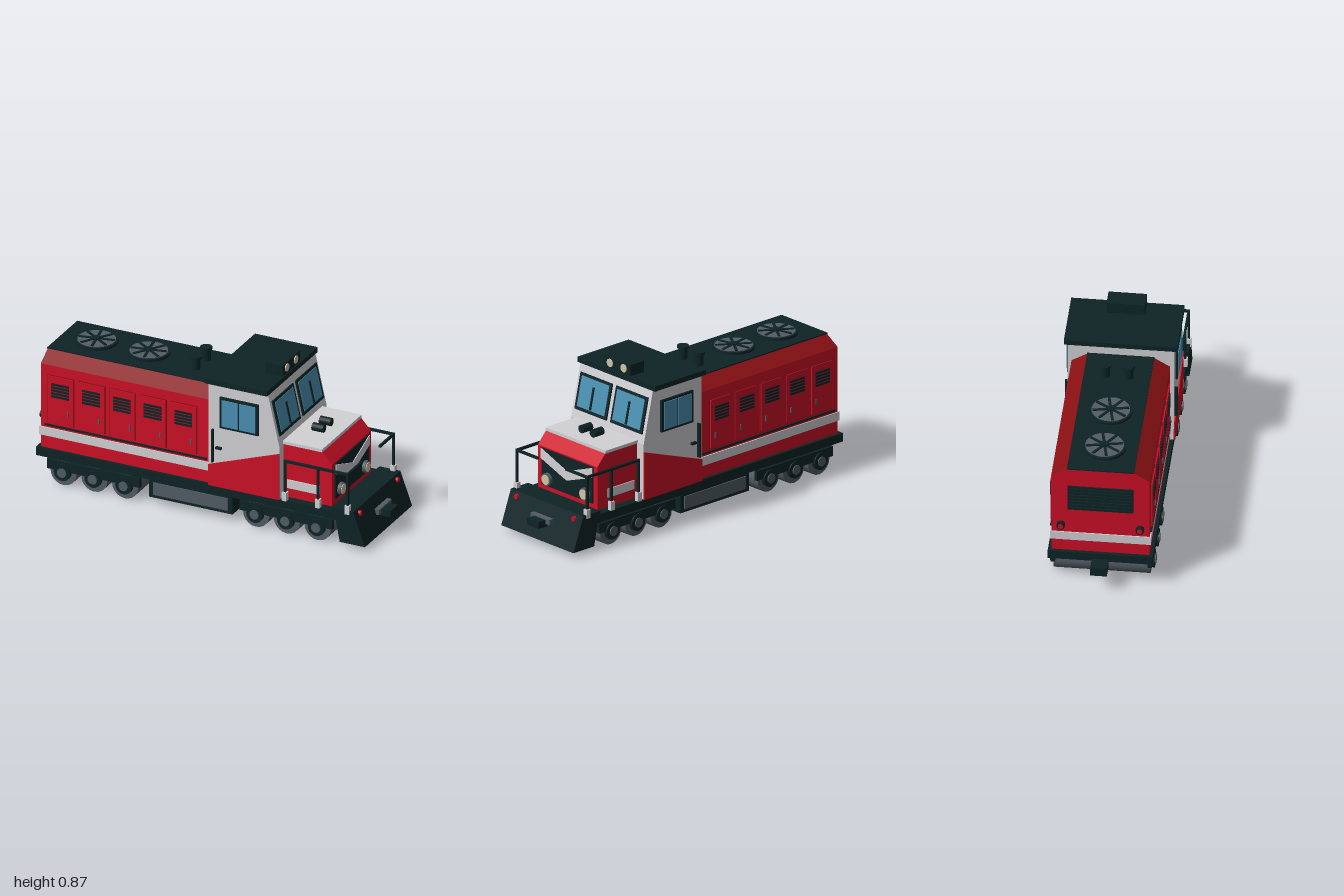
import * as THREE from 'three';

const mat = (name, color) => Object.assign(new THREE.MeshStandardMaterial({ color }), { name });

export function createModel() {
  const M = {
    red: mat('red paint', 0xcc1026), maroon: mat('dark red paint', 0x8a1014),
    white: mat('light grey paint', 0xd2d2d6), dark: mat('dark green black', 0x0e2426),
    metal: mat('grey metal', 0x535c65), glass: mat('blue glass', 0x4a90b2), lamp: mat('cream lamp', 0xd0c6a6),
  };
  const model = new THREE.Group();
  model.name = 'locomotive';

  const add = (name, geo, m, parent = model) => {
    const mesh = new THREE.Mesh(geo, m);
    mesh.name = name;
    parent.add(mesh);
    return mesh;
  };
  const box = (name, m, x0, x1, y0, y1, z0, z1, parent) => {
    const mesh = add(name, new THREE.BoxGeometry(x1 - x0, y1 - y0, Math.abs(z1 - z0)), m, parent);
    mesh.position.set((x0 + x1) / 2, (y0 + y1) / 2, (z0 + z1) / 2);
    return mesh;
  };
  // Cylinder centred at a point, along the given axis
  const cyl = (name, m, axis, r, len, x, y, z, seg = 20, parent) => {
    const geo = new THREE.CylinderGeometry(r, r, len, seg);
    if (axis === 'x') geo.rotateZ(-Math.PI / 2);
    if (axis === 'z') geo.rotateX(Math.PI / 2);
    const mesh = add(name, geo, m, parent);
    mesh.position.set(x, y, z);
    return mesh;
  };
  const prism = (pts, depth) => new THREE.ExtrudeGeometry(
    new THREE.Shape(pts.map(p => new THREE.Vector2(...p))), { depth, bevelEnabled: false });
  // Side profile (x, y) extruded between two z values
  const sideSlab = (name, m, pts, z0, z1) => add(name, prism(pts, z1 - z0).translate(0, 0, z0), m);
  // End profile (z, y) extruded between two x values
  const endSlab = (name, m, pts, x0, x1) =>
    add(name, prism(pts.map(([z, y]) => [-z, y]), x1 - x0).rotateY(Math.PI / 2).translate(x0, 0, 0), m);
  const both = f => [1, -1].forEach(f);

  // Underframe, plough and couplers
  box('deck', M.dark, -0.925, 0.82, 0.15, 0.197, -0.272, 0.272);
  sideSlab('plough', M.dark, [[0.78, 0.15], [0.8, 0.15], [0.823, 0.03], [0.968, 0.03], [0.9, 0.215], [0.78, 0.215]], -0.274, 0.274);
  box('couplerPlate', M.metal, 0.9, 0.95, 0.122, 0.152, -0.073, 0.073);
  box('frontCoupler', M.dark, 0.92, 1.0, 0.107, 0.143, -0.043, 0.043);
  box('rearCoupler', M.dark, -1.0, -0.92, 0.112, 0.163, -0.043, 0.043);
  both(s => cyl('markerLight', M.red, 'x', 0.014, 0.04, 0.9, 0.19, s * 0.217, 16));

  // Fuel tank
  box('tank', M.dark, -0.285, 0.195, 0.04, 0.15, -0.25, 0.25);
  both(s => box('tankPanel', M.metal, -0.26, 0.17, 0.058, 0.128, s * 0.249, s * 0.256));

  // Two trucks with three rollers each
  for (const cx of [-0.6, 0.507]) {
    both(s => box('truckFrame', M.dark, cx - 0.267, cx + 0.267, 0.083, 0.137, s * 0.24, s * 0.262));
    for (const dx of [-0.177, 0, 0.177]) {
      cyl('wheelset', M.metal, 'z', 0.075, 0.5, cx + dx, 0.075, 0, 20);
      both(s => {
        cyl('axleBox', M.dark, 'z', 0.047, 0.022, cx + dx, 0.078, s * 0.259);
        cyl('axleCap', M.metal, 'z', 0.026, 0.008, cx + dx, 0.078, s * 0.272);
      });
    }
  }

  // Long hood with chamfered roof edges
  box('hood', M.red, -0.905, 0.08, 0.197, 0.672, -0.255, 0.255);
  endSlab('hoodChamfer', [M.red, M.maroon], [[0.255, 0.672], [0.172, 0.723], [-0.172, 0.723], [-0.255, 0.672]].reverse(), -0.905, 0.08);
  box('hoodRoof', M.dark, -0.908, 0.08, 0.721, 0.728, -0.174, 0.174);
  box('hoodStripe', M.white, -0.911, 0.075, 0.267, 0.315, -0.261, 0.261);
  both(s => {
    box('hoodRail', M.dark, -0.88, 0.05, 0.327, 0.336, s * 0.254, s * 0.264);
    for (let i = 0; i < 5; i++) {
      const x = -0.86 + i * 0.177;
      const door = new THREE.Group();
      door.name = 'hoodDoor';
      model.add(door);
      box('doorEdge', M.maroon, x - 0.004, x + 0.149, 0.346, 0.619, s * 0.254, s * 0.258, door);
      box('doorPanel', M.red, x, x + 0.145, 0.35, 0.615, s * 0.254, s * 0.264, door);
      for (let k = 0; k < 5; k++)
        box('louver', M.dark, x + 0.022, x + 0.122, 0.498 + k * 0.017, 0.509 + k * 0.017, s * 0.262, s * 0.269, door);
      box('doorHandle', M.metal, x + 0.112, x + 0.12, 0.4, 0.43, s * 0.262, s * 0.27, door);
    }
  });

  // Hood end: grille, lamps
  box('rearGrille', M.dark, -0.912, -0.9, 0.465, 0.615, -0.17, 0.17);
  for (let k = 0; k < 7; k++)
    box('grilleSlat', M.dark, -0.919, -0.91, 0.472 + k * 0.02, 0.484 + k * 0.02, -0.16, 0.16);
  both(s => {
    cyl('rearLampRing', M.dark, 'x', 0.022, 0.024, -0.914, 0.362, s * 0.205);
    cyl('rearLamp', M.red, 'x', 0.014, 0.004, -0.927, 0.362, s * 0.205);
  });

  // Roof fans and exhaust stacks
  for (const x of [-0.71, -0.41]) {
    const fan = new THREE.Group();
    fan.name = 'roofFan';
    fan.position.set(x, 0.728, 0);
    model.add(fan);
    cyl('fanRing', M.dark, 'y', 0.112, 0.014, 0, 0.007, 0, 28, fan);
    cyl('fanDisc', M.metal, 'y', 0.1, 0.006, 0, 0.014, 0, 28, fan);
    cyl('fanHub', M.dark, 'y', 0.022, 0.014, 0, 0.02, 0, 16, fan);
    for (let i = 0; i < 4; i++)
      box('fanBlades', M.dark, -0.095, 0.095, 0.015, 0.022, -0.007, 0.007, fan).rotation.y = i * Math.PI / 4 + 0.2;
  }
  both(s => {
    cyl('exhaustStack', M.dark, 'y', 0.024, 0.07, -0.11, 0.76, s * 0.06);
    cyl('exhaustCap', M.dark, 'y', 0.032, 0.012, -0.11, 0.796, s * 0.06);
  });

  // Cab with sloping windscreen wall
  sideSlab('cab', M.white, [[0.07, 0.197], [0.476, 0.197], [0.476, 0.5], [0.41, 0.788], [0.07, 0.788]], -0.275, 0.275);
  both(s => {
    const z = s > 0 ? [0.274, 0.282] : [-0.282, -0.274];
    sideSlab('cabRedPaint', M.red, [[0.07, 0.197], [0.477, 0.197], [0.477, 0.46], [0.07, 0.315]], ...z);
    box('sideWindowFrame', M.dark, 0.137, 0.36, 0.54, 0.716, s * 0.274, s * 0.287);
    for (const x of [0.152, 0.252])
      box('sideWindow', M.glass, x, x + 0.093, 0.553, 0.703, s * 0.285, s * 0.291);
    box('grabRail', M.dark, 0.091, 0.101, 0.335, 0.522, s * 0.274, s * 0.292);
    box('cabDoorHandle', M.dark, 0.115, 0.148, 0.415, 0.427, s * 0.274, s * 0.29);
  });
  box('cabRoof', M.dark, 0.055, 0.415, 0.782, 0.81, -0.294, 0.294);
  box('lightBox', M.dark, 0.31, 0.408, 0.81, 0.872, -0.1, 0.1);
  both(s => cyl('roofLight', M.lamp, 'x', 0.022, 0.012, 0.407, 0.843, s * 0.052));

  // Windscreen panes lie in the sloping wall
  const screen = new THREE.Group();
  screen.name = 'windscreen';
  screen.position.set(0.476, 0.5, 0);
  screen.rotation.z = Math.atan2(0.066, 0.288);
  model.add(screen);
  both(s => {
    box('windscreenFrame', M.dark, -0.004, 0.008, 0.05, 0.246, s * 0.015, s * 0.255, screen);
    box('windscreenGlass', M.glass, 0.005, 0.011, 0.068, 0.232, s * 0.03, s * 0.238, screen);
    box('wiper', M.dark, 0.01, 0.017, 0.072, 0.194, s * 0.13, s * 0.141, screen);
  });

  // Short nose with light lid
  sideSlab('nose', M.red, [[0.47, 0.197], [0.755, 0.197], [0.755, 0.435], [0.698, 0.498], [0.47, 0.498]], -0.225, 0.225);
  box('noseLid', M.white, 0.465, 0.7, 0.496, 0.513, -0.229, 0.229);
  both(s => {
    box('noseStripe', M.white, 0.5, 0.685, 0.25, 0.298, s * 0.224, s * 0.231);
    cyl('horn', M.dark, 'x', 0.022, 0.065, 0.588, 0.534, s * 0.043);
  });

  // Nose front: dark panel, chevron, headlights
  box('nosePanel', M.dark, 0.752, 0.76, 0.226, 0.428, -0.195, 0.195);
  endSlab('chevron', M.white, [[0.195, 0.37], [0, 0.3], [-0.195, 0.37], [-0.195, 0.425], [0, 0.352], [0.195, 0.425]].reverse(), 0.757, 0.764);
  both(s => {
    cyl('headlightRing', M.metal, 'x', 0.034, 0.024, 0.766, 0.268, s * 0.143);
    cyl('headlight', M.lamp, 'x', 0.027, 0.006, 0.779, 0.268, s * 0.143);
  });

  // Handrails around the front platform
  both(s => {
    const z = s * 0.266;
    box('sideRail', M.dark, 0.499, 0.871, 0.414, 0.427, z - 0.006, z + 0.006);
    box('frontRail', M.dark, 0.859, 0.871, 0.414, 0.427, s * 0.105, s * 0.272);
    for (const x of [0.505, 0.695, 0.865]) {
      box('railPost', M.dark, x - 0.006, x + 0.006, 0.197, 0.427, z - 0.006, z + 0.006);
      box('railFoot', M.white, x - 0.013, x + 0.013, 0.197, 0.245, z - 0.013, z + 0.013);
    }
  });

  return model;
}
